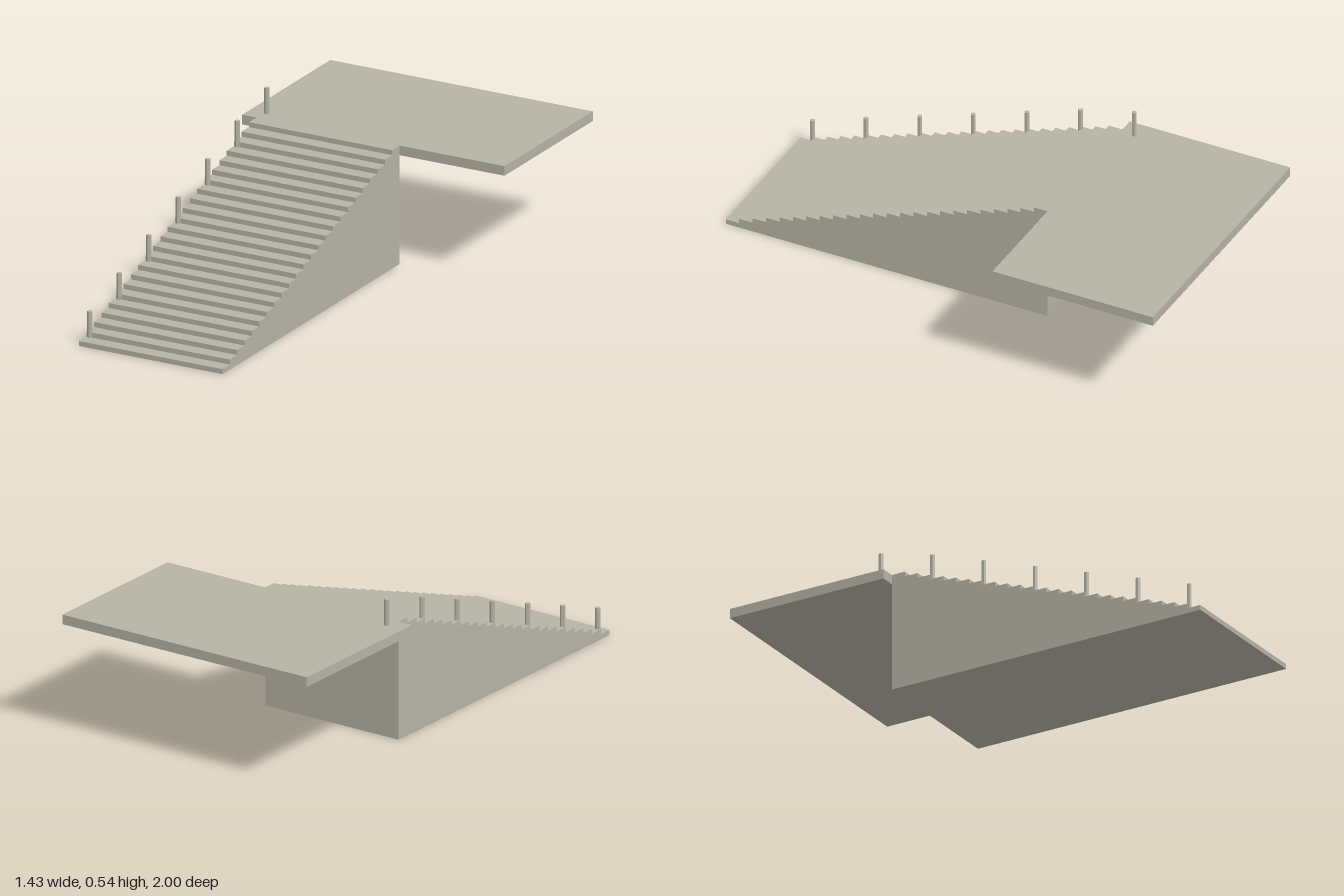
import * as THREE from 'three';

const STEPS = 24, RUN = 0.0529, RISE = 0.0185;
const HEIGHT = STEPS * RISE, LENGTH = STEPS * RUN;
const LEFT = -0.487, WIDTH = 0.577, FRONT = 1.007;

export function createModel() {
  const model = new THREE.Group();
  model.name = 'staircaseWithLanding';
  const concrete = new THREE.MeshStandardMaterial({ color: 0xb5b3a5 });
  concrete.name = 'warm grey concrete';

  // everything stands turned 14 degrees from the axes
  const body = new THREE.Group();
  body.name = 'turnedBody';
  body.rotation.y = THREE.MathUtils.degToRad(-14);
  model.add(body);

  function add(name, geometry, x, y, z) {
    const mesh = new THREE.Mesh(geometry, concrete);
    mesh.name = name;
    mesh.position.set(x, y, z);
    body.add(mesh);
  }

  // solid flight of steps: stepped side profile extruded across the width
  const profile = new THREE.Shape();
  profile.moveTo(0, 0);
  profile.lineTo(LENGTH, 0);
  profile.lineTo(LENGTH, HEIGHT);
  for (let i = STEPS - 1; i >= 0; i--) {
    profile.lineTo(i * RUN, (i + 1) * RISE);
    if (i > 0) profile.lineTo(i * RUN, i * RISE);
  }
  profile.closePath();
  const flight = new THREE.ExtrudeGeometry(profile, { depth: WIDTH, bevelEnabled: false });
  flight.rotateY(Math.PI / 2);
  add('steps', flight, LEFT, 0, FRONT);

  // landing slab, flush with the top step
  const back = -0.8955, front = FRONT - LENGTH, x0 = -0.544, x1 = 0.513, slab = 0.036;
  add('landing', new THREE.BoxGeometry(x1 - x0, slab, front - back),
    (x0 + x1) / 2, HEIGHT - slab / 2, (front + back) / 2);

  // railing posts, one every four steps, the last on the landing
  const postHeight = 0.098;
  const post = new THREE.CylinderGeometry(0.0095, 0.0095, postHeight, 6).toNonIndexed();
  post.computeVertexNormals();
  for (let i = 0; i < 7; i++) {
    const step = i * 4;
    const base = Math.min((step + 1) * RISE, HEIGHT);
    add('railingPost' + (i + 1), post, LEFT + 0.013, base + postHeight / 2, FRONT - (step + 1) * RUN);
  }
  return model;
}
